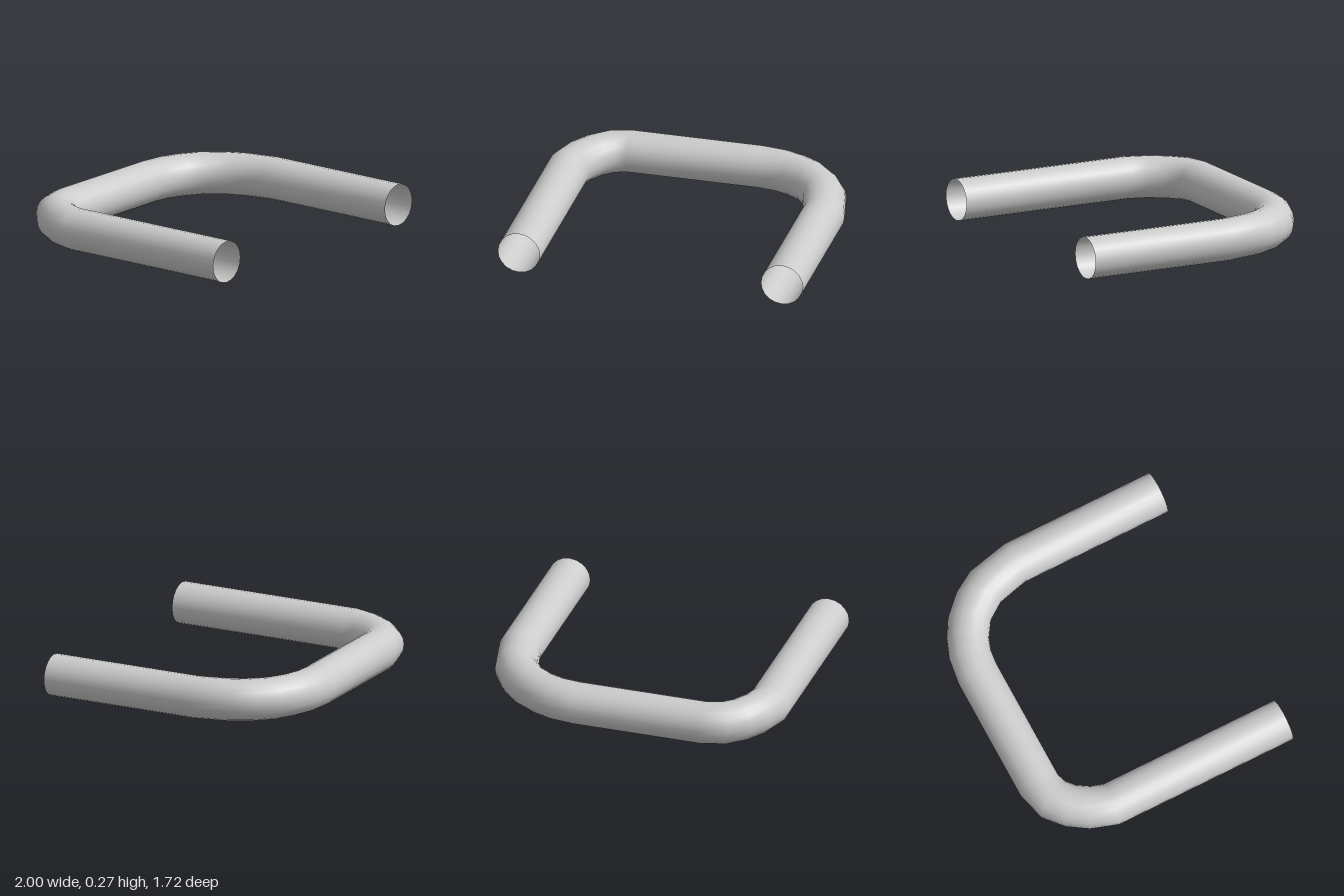
import * as THREE from 'three';

const RADIUS = 0.135, SIDES = 20;

// Bend stations from the right leg to the left leg: outer x, outer z, inner x, inner z
const STATIONS = [
  [-1, 0.85, -0.725, 0.85],
  [-1, -0.39, -0.725, -0.36],
  [-0.94, -0.57, -0.7, -0.44],
  [-0.855, -0.7, -0.65, -0.52],
  [-0.73, -0.81, -0.6, -0.565],
  [-0.545, -0.86, -0.545, -0.585],
  [0.3, -0.86, 0.3, -0.585],
  [0.48, -0.835, 0.4, -0.575],
  [0.61, -0.785, 0.49, -0.545],
  [0.73, -0.715, 0.59, -0.48],
  [0.85, -0.595, 0.675, -0.36],
  [0.935, -0.455, 0.7, -0.26],
  [1, -0.17, 0.725, -0.16],
  [1, 0.855, 0.725, 0.855],
];

// Open hollow tube: one mitred ring per station, skinned in loops
function tubeGeometry() {
  const pos = [], index = [];
  STATIONS.forEach(([ox, oz, ix, iz], i) => {
    for (let j = 0; j < SIDES; j++) {
      const a = (j / SIDES) * Math.PI * 2;
      const c = Math.cos(a) / 2;
      pos.push(
        (ox + ix) / 2 + (ox - ix) * c,
        RADIUS + RADIUS * Math.sin(a),
        (oz + iz) / 2 + (oz - iz) * c
      );
      if (i < STATIONS.length - 1) {
        const k = (j + 1) % SIDES, p = i * SIDES, q = p + SIDES;
        index.push(p + j, p + k, q + j, p + k, q + k, q + j);
      }
    }
  });
  const g = new THREE.BufferGeometry();
  g.setAttribute('position', new THREE.Float32BufferAttribute(pos, 3));
  g.setIndex(index);
  g.computeVertexNormals();
  return g;
}

// Crossed flat bars forming a spoked fan inside a leg
function fan(name, x, angles, material) {
  const group = new THREE.Group();
  group.name = name;
  for (const deg of angles) {
    const bar = new THREE.Mesh(new THREE.BoxGeometry(0.24, 0.032, 0.03), material);
    bar.name = 'fanBlade';
    bar.rotation.z = THREE.MathUtils.degToRad(deg);
    group.add(bar);
  }
  group.position.set(x, RADIUS, 0.25);
  return group;
}

export function createModel() {
  const model = new THREE.Group();
  model.name = 'bentPipe';
  const grey = new THREE.MeshStandardMaterial({ color: 0xcccccc, side: THREE.DoubleSide });
  const red = new THREE.MeshStandardMaterial({ color: 0xc40d1e });

  const pipe = new THREE.Mesh(tubeGeometry(), grey);
  pipe.name = 'pipe';
  model.add(pipe);

  model.add(fan('rightFan', -0.86, [7, 45, 97, 138], red));
  model.add(fan('leftFan', 0.86, [7, 72, 97, 163], red));
  return model;
}
